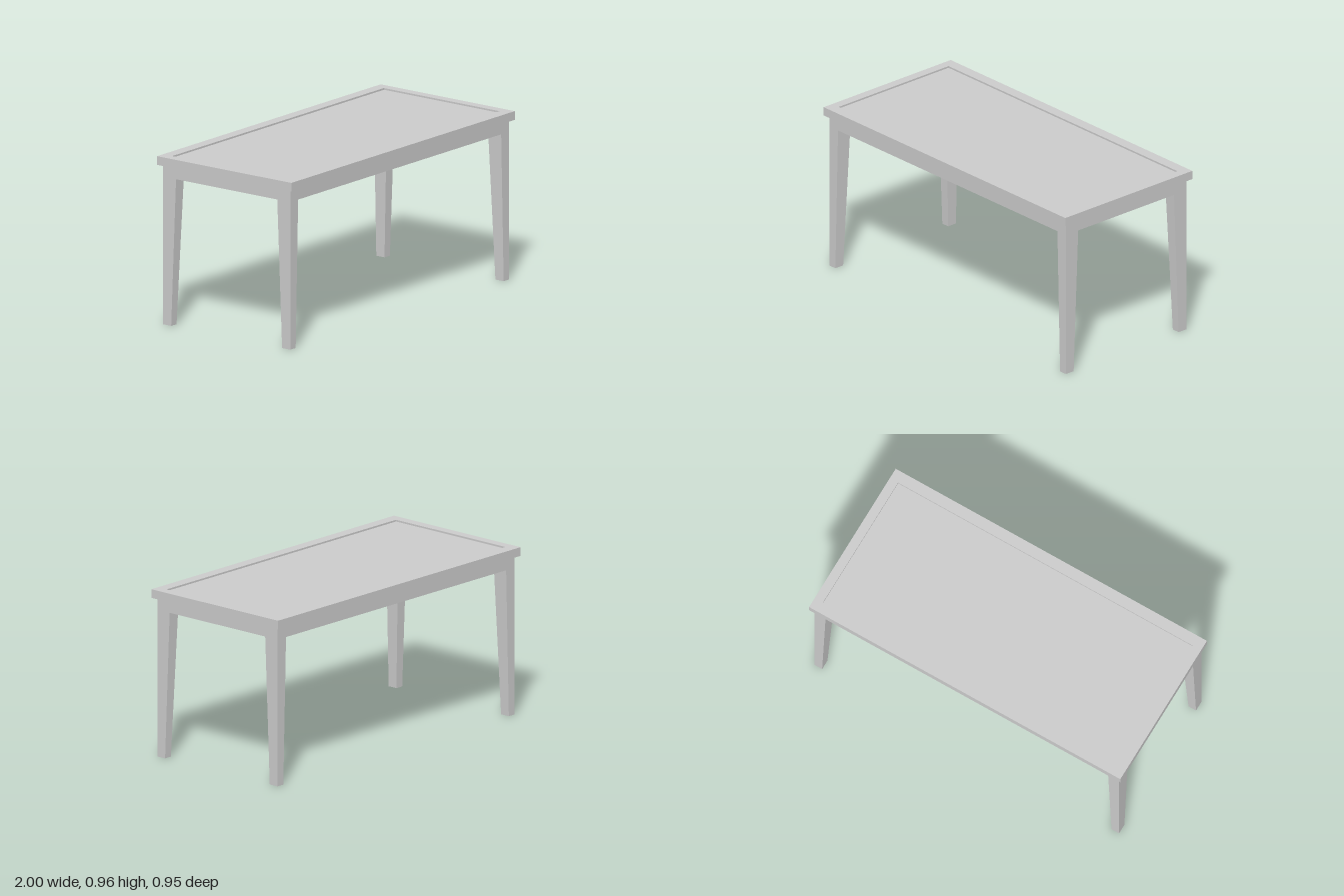
import * as THREE from 'three';

const material = new THREE.MeshStandardMaterial({ color: 0xcccccc, flatShading: true });

// Main levels and half sizes
const TOP = 0.963, TOP_BOTTOM = 0.913, APRON_BOTTOM = 0.845;
const HALF_X = 1, HALF_Z = 0.473;
const APRON_X = 0.978, APRON_Z = 0.449;
const RIM_X = 0.053, RIM_Z = 0.064, RECESS = 0.01;

function addMesh(parent, name, geometry) {
  const mesh = new THREE.Mesh(geometry, material);
  mesh.name = name;
  parent.add(mesh);
  return mesh;
}

// Box between two heights, centred on x and z
function slab(halfX, halfZ, y0, y1) {
  return new THREE.BoxGeometry(halfX * 2, y1 - y0, halfZ * 2).translate(0, (y0 + y1) / 2, 0);
}

function rectangle(PathType, halfX, halfZ) {
  return new PathType([
    new THREE.Vector2(-halfX, -halfZ),
    new THREE.Vector2(halfX, -halfZ),
    new THREE.Vector2(halfX, halfZ),
    new THREE.Vector2(-halfX, halfZ),
  ]);
}

// Leg with straight outer faces and inner faces that taper toward the floor
function legGeometry(sx, sz) {
  const geometry = new THREE.BoxGeometry(1, APRON_BOTTOM, 1);
  const p = geometry.attributes.position;
  for (let i = 0; i < p.count; i++) {
    const upper = p.getY(i) > 0;
    const width = upper ? 0.07 : 0.048;
    const depth = upper ? 0.092 : 0.058;
    const x = sx * (APRON_X - width / 2) + p.getX(i) * width;
    const z = sz * (APRON_Z - depth / 2) + p.getZ(i) * depth;
    p.setXYZ(i, x, upper ? APRON_BOTTOM : 0, z);
  }
  geometry.computeVertexNormals();
  return geometry;
}

export function createModel() {
  const table = new THREE.Group();
  table.name = 'table';

  // Raised rim around the tabletop
  const rim = rectangle(THREE.Shape, HALF_X, HALF_Z);
  rim.holes.push(rectangle(THREE.Path, HALF_X - RIM_X, HALF_Z - RIM_Z));
  const rimGeometry = new THREE.ExtrudeGeometry(rim, { depth: TOP - TOP_BOTTOM, bevelEnabled: false });
  rimGeometry.rotateX(-Math.PI / 2).translate(0, TOP_BOTTOM, 0);
  addMesh(table, 'tabletopRim', rimGeometry);

  // Slightly sunken centre panel
  addMesh(table, 'tabletopPanel', slab(HALF_X - RIM_X, HALF_Z - RIM_Z, TOP_BOTTOM, TOP - RECESS));

  // Apron block, flush with the legs and flat underneath
  addMesh(table, 'apron', slab(APRON_X, APRON_Z, APRON_BOTTOM, TOP_BOTTOM));

  // Four tapered legs
  for (const [sx, side] of [[1, 'Left'], [-1, 'Right']]) {
    for (const [sz, end] of [[1, 'front'], [-1, 'back']]) {
      addMesh(table, `${end}${side}Leg`, legGeometry(sx, sz));
    }
  }
  return table;
}
